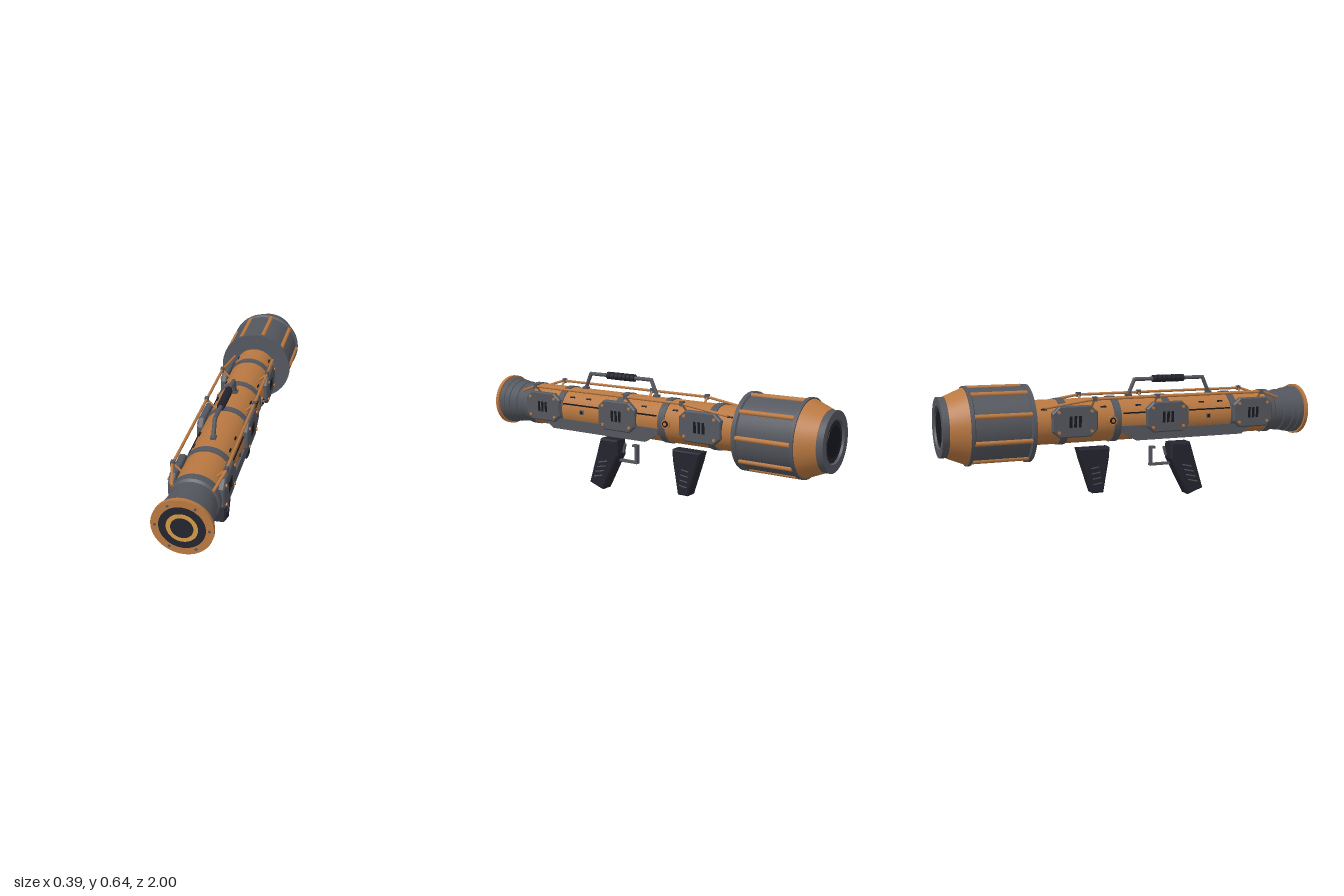
import * as THREE from 'three';
import { toCreasedNormals } from 'three/addons/utils/BufferGeometryUtils.js';

const mat = (name, color) => {
  const m = new THREE.MeshStandardMaterial({ color });
  m.name = name;
  return m;
};

export function createModel() {
  const orange = mat('orange', 0xb97841), grey = mat('grey', 0x54575e);
  const dark = mat('dark', 0x24242f), black = mat('black', 0x17171d), gold = mat('gold', 0xd29a48);
  const model = new THREE.Group();
  model.name = 'launcher';
  const AXIS = 0.433, R = 0.112;

  const add = (name, geo, m, parent = model) => {
    const mesh = new THREE.Mesh(geo, m);
    mesh.name = name;
    parent.add(mesh);
    return mesh;
  };
  // Turned part along z, points are [radius, z] with z rising
  const turned = (name, pts, m, seg = 48) => {
    const g = new THREE.LatheGeometry(pts.map(p => new THREE.Vector2(p[0], p[1])), seg);
    g.rotateX(Math.PI / 2);
    return add(name, toCreasedNormals(g, 0.5).translate(0, AXIS, 0), m);
  };
  const ringZ = (name, r, z0, z1, m) => turned(name, [[0, z0], [r, z0], [r, z1], [0, z1]], m);
  // Side outline in [z, y], extruded across x and centred on x
  const sidePlate = (name, pts, width, m, x = 0, bevel = 0, parent = model) => {
    const g = new THREE.ExtrudeGeometry(new THREE.Shape(pts.map(p => new THREE.Vector2(p[0], p[1]))), {
      depth: width - 2 * bevel, bevelEnabled: bevel > 0, bevelSize: bevel, bevelThickness: bevel,
      bevelOffset: -bevel, bevelSegments: 1,
    });
    g.translate(0, 0, -(width - 2 * bevel) / 2).rotateY(-Math.PI / 2).translate(x, 0, 0);
    return add(name, g, m, parent);
  };
  const box = (name, w, h, d, x, y, z, m, parent = model) => {
    const b = add(name, new THREE.BoxGeometry(w, h, d), m, parent);
    b.position.set(x, y, z);
    return b;
  };
  // Pipe with straight runs through the points
  const pipe = (name, pts, r, m, parent = model) => {
    const path = new THREE.CurvePath();
    const v = pts.map(p => new THREE.Vector3(...p));
    for (let i = 1; i < v.length; i++) {
      const len = v[i].distanceTo(v[i - 1]);
      const rod = add(name, new THREE.CylinderGeometry(r, r, len, 10), m, parent);
      rod.position.lerpVectors(v[i - 1], v[i], 0.5);
      rod.quaternion.setFromUnitVectors(new THREE.Vector3(0, 1, 0), v[i].clone().sub(v[i - 1]).normalize());
      if (i < v.length - 1) add(name + 'Bend', new THREE.SphereGeometry(r, 10, 8), m, parent).position.copy(v[i]);
    }
  };
  const discX = (name, r, t, x, y, z, m, seg = 12) => {
    const d = add(name, new THREE.CylinderGeometry(r, r, t, seg), m);
    d.rotation.z = Math.PI / 2;
    d.position.set(x, y, z);
  };

  // Barrel and its bands
  ringZ('barrel', R, -0.553, 0.8, orange);
  for (const z of [-0.4, -0.12, 0.16, 0.545]) ringZ('barrelBand', R + 0.005, z - 0.019, z + 0.019, grey);

  // Flared muzzle
  turned('muzzleFlare', [[0, 0.76], [0.117, 0.76], [0.117, 0.8], [0.107, 0.81], [0.108, 0.86], [0.113, 0.862],
    [0.115, 0.91], [0.12, 0.912], [0.122, 0.945], [0.126, 0.947], [0.128, 0.98], [0, 0.98]], grey);
  ringZ('muzzleRim', 0.138, 0.977, 0.996, orange);
  ringZ('muzzleFace', 0.103, 0.99, 0.998, dark);
  ringZ('muzzleRing', 0.07, 0.99, 0.999, gold);
  ringZ('muzzleCore', 0.05, 0.99, 1.0, dark);
  for (let i = 0; i < 6; i++) {
    const a = i * Math.PI / 3;
    const b = add('rimBolt', new THREE.CylinderGeometry(0.006, 0.006, 0.008, 10), grey);
    b.rotation.x = Math.PI / 2;
    b.position.set(0.118 * Math.cos(a), AXIS + 0.118 * Math.sin(a), 0.996);
  }

  // Rear drum with ribs, cone and exhaust
  turned('drum', [[0, -0.877], [0.193, -0.877], [0.193, -0.86], [0.183, -0.855], [0.183, -0.588],
    [0.193, -0.583], [0.193, -0.563], [0, -0.563]], grey);
  for (let i = 0; i < 9; i++) {
    const a = i * Math.PI * 2 / 9;
    const rib = add('drumRib', new THREE.CylinderGeometry(0.012, 0.012, 0.275, 10), orange);
    rib.rotation.x = Math.PI / 2;
    rib.position.set(0.183 * Math.cos(a), AXIS + 0.183 * Math.sin(a), -0.721);
  }
  turned('rearCone', [[0, -0.968], [0.148, -0.968], [0.186, -0.877], [0, -0.877]], orange);
  turned('exhaustCollar', [[0, -0.985], [0.1, -0.985], [0.105, -1], [0.146, -1], [0.146, -0.965], [0, -0.965]], grey);
  ringZ('exhaustDisc', 0.1, -0.99, -0.984, dark);
  ringZ('exhaustCore', 0.075, -0.993, -0.984, black);

  for (const s of [1, -1]) {
    // Octagonal side panels with bolts and vents
    for (const z of [0.652, 0.15, -0.352]) {
      const oct = [[-0.118, -0.045], [-0.08, -0.078], [0.08, -0.078], [0.118, -0.045],
        [0.118, 0.045], [0.08, 0.078], [-0.08, 0.078], [-0.118, 0.045]];
      sidePlate('sidePanel', oct.map(p => [p[0] + z, p[1] + 0.443]), 0.032, grey, s * 0.112, 0.006);
      for (const dz of [-1, 1]) for (const dy of [-1, 1])
        discX('panelBolt', 0.008, 0.008, s * 0.13, 0.443 + dy * 0.05, z + dz * 0.085, orange);
      for (const k of [-1, 0, 1])
        sidePlate('panelVent', [[-0.008, -0.028], [0.006, -0.028], [0.008, 0.028], [-0.006, 0.028]]
          .map(p => [p[0] + z + k * 0.024, p[1] + 0.443]), 0.006, black, s * 0.127);
    }
    // Lower guard plate
    sidePlate('lowerGuard', [[0.64, 0.385], [0.64, 0.36], [0.59, 0.328], [-0.02, 0.328], [-0.1, 0.375],
      [-0.1, 0.405], [0.02, 0.405], [0.28, 0.385]], 0.016, grey, s * 0.103);
    // Cable rail with clamps
    pipe('sideRail', [[s * 0.092, 0.512, 0.82], [s * 0.121, 0.55, 0.71], [s * 0.121, 0.55, -0.25], [s * 0.108, 0.515, -0.5]],
      0.007, orange);
    for (const z of [0.7, 0.09, -0.25]) {
      box('railClamp', 0.018, 0.024, 0.022, s * 0.121, 0.551, z, grey);
      pipe('railStandoff', [[s * 0.121, 0.55, z], [s * 0.075, 0.505, z]], 0.006, orange);
    }
    // Seams, hatch and vent marks
    box('barrelSeam', 0.006, 0.007, 0.24, s * 0.107, 0.47, 0.4, black);
    box('barrelSeam', 0.006, 0.007, 0.12, s * 0.107, 0.47, -0.03, black);
    for (const z of [0.47, 0.36, 0.0, -0.19, -0.5]) {
      const m = box('barrelMark', 0.006, 0.008, 0.03, s * 0.0855, AXIS + 0.0725, z, black);
      m.rotation.z = s * 0.703;
    }
    box('hatch', 0.008, 0.024, 0.024, s * 0.111, 0.435, 0.39, grey);
    box('hatchCentre', 0.008, 0.015, 0.015, s * 0.113, 0.435, 0.39, black);
    // Selector knob
    discX('knobBase', 0.024, 0.012, s * 0.114, 0.437, -0.152, orange, 20);
    discX('knobRing', 0.016, 0.014, s * 0.118, 0.437, -0.152, black, 20);
    discX('knobCap', 0.009, 0.014, s * 0.121, 0.437, -0.152, orange, 16);
  }

  // Carry handle
  pipe('carryHandle', [[0, 0.535, 0.452], [0, 0.63, 0.41], [0, 0.63, 0.015], [0, 0.535, -0.028]], 0.01, grey);
  for (const z of [0.445, -0.02]) box('handleFoot', 0.026, 0.02, 0.03, 0, 0.546, z, grey);
  for (let i = 0; i < 7; i++) {
    const seg = add('handleGrip', new THREE.CylinderGeometry(0.02, 0.02, 0.02, 8), dark);
    seg.rotation.set(Math.PI / 2, Math.PI / 8, 0);
    seg.position.set(0, 0.63, 0.128 + i * 0.026);
  }
  const core = add('handleGripCore', new THREE.CylinderGeometry(0.016, 0.016, 0.175, 8), black);
  core.rotation.x = Math.PI / 2;
  core.position.set(0, 0.63, 0.206);

  // Pistol grip and foregrip with raised ridges
  sidePlate('pistolGrip', [[0.322, 0.29], [0.21, 0.29], [0.208, 0.205], [0.312, 0.004], [0.4, 0.035]], 0.084, dark, 0, 0.008);
  sidePlate('foreGrip', [[-0.136, 0.29], [-0.305, 0.29], [-0.29, 0.235], [-0.232, 0.055], [-0.172, 0.055], [-0.14, 0.235]],
    0.076, dark, 0, 0.008);
  for (let i = 0; i < 4; i++) {
    const y = 0.08 + i * 0.028;
    const a = box('gripRidge', 0.089, 0.006, 0.058, 0, y, 0.338 - i * 0.0115, grey);
    a.rotation.x = 0.22;
    const b = box('foreGripRidge', 0.08, 0.005, 0.045, 0, y + 0.025, -0.205 - i * 0.004, grey);
    b.rotation.x = -0.15;
  }

  // Trigger and guard
  for (const [h, d, y, z] of [[0.1, 0.014, 0.222, 0.108], [0.012, 0.115, 0.177, 0.158], [0.012, 0.03, 0.268, 0.116]])
    box('triggerGuard', 0.024, h, d, 0, y, z, grey);
  const trigger = box('trigger', 0.014, 0.05, 0.009, 0, 0.245, 0.19, grey);
  trigger.rotation.x = -0.25;

  model.children.forEach(c => { c.position.x -= 0.003; });
  return model;
}
